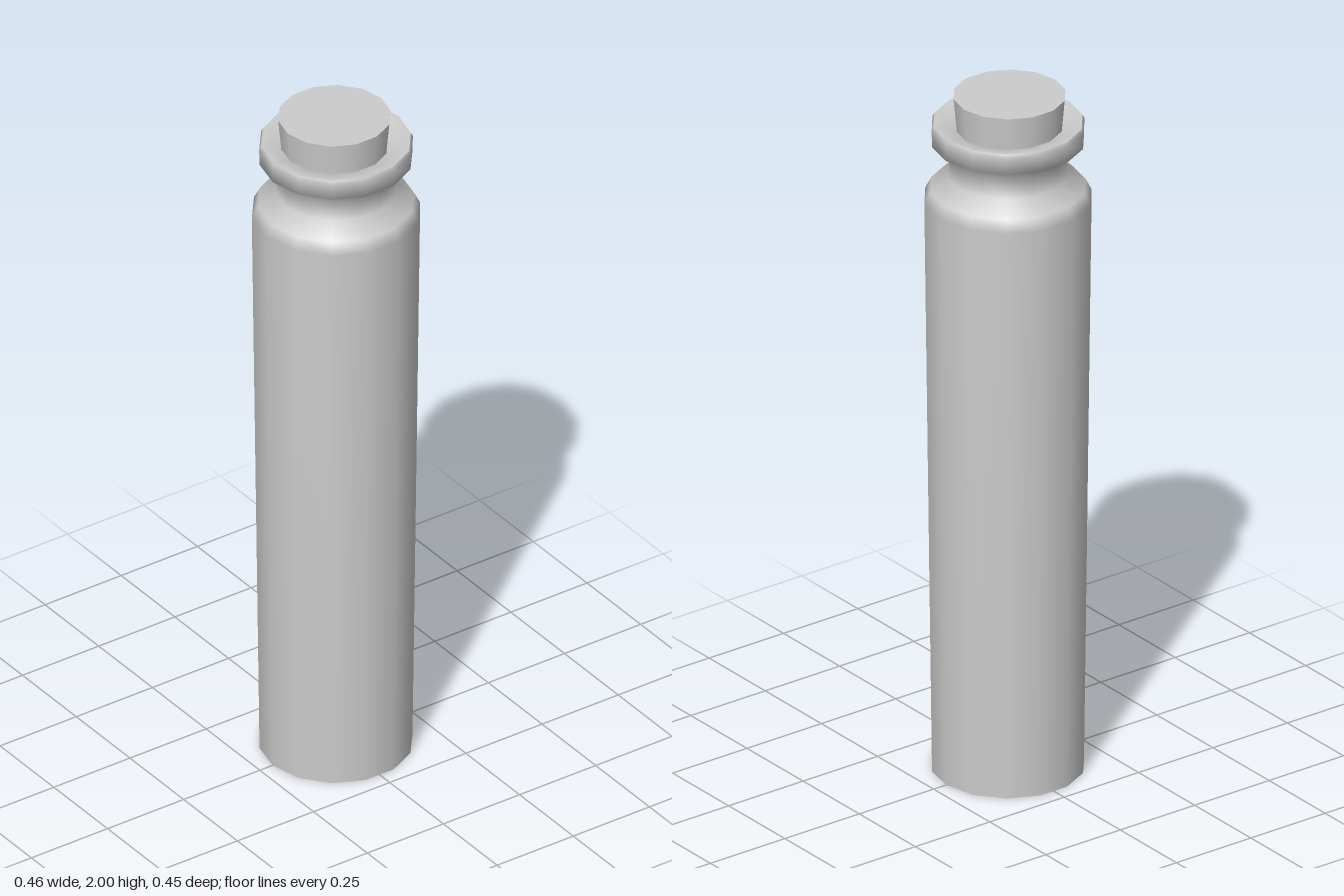
import * as THREE from 'three';

const SIDES = 14;
const START = Math.PI / 2; // puts a corner on the +x axis

export function createModel() {
  const group = new THREE.Group();
  group.name = 'corkedVial';
  const material = new THREE.MeshStandardMaterial({ color: 0xcccccc, side: THREE.DoubleSide });

  const add = (name, geometry) => {
    const mesh = new THREE.Mesh(geometry, material);
    mesh.name = name;
    group.add(mesh);
    return mesh;
  };
  const lathe = (profile) =>
    new THREE.LatheGeometry(profile.map(([r, y]) => new THREE.Vector2(r, y)), SIDES, START);

  // Tapered tube, rounded shoulder, neck and rolled rim
  add('body', lathe([
    [0.208, 0], [0.229, 1.697], [0.212, 1.73], [0.163, 1.768],
    [0.16, 1.832], [0.208, 1.864], [0.209, 1.912], [0.204, 1.922],
  ]));

  // Flat base, closing the tube
  add('base', lathe([[0, 0], [0.208, 0]]));

  // Top of the rim, dipping slightly toward the stopper
  add('lip', lathe([[0.204, 1.922], [0.18, 1.921], [0.142, 1.905]]));

  // Tapered stopper, sunk into the neck
  const stopper = add('stopper', new THREE.CylinderGeometry(0.153, 0.135, 0.2, SIDES, 1, false, START));
  stopper.position.set(-0.005, 1.9, 0);

  return group;
}
